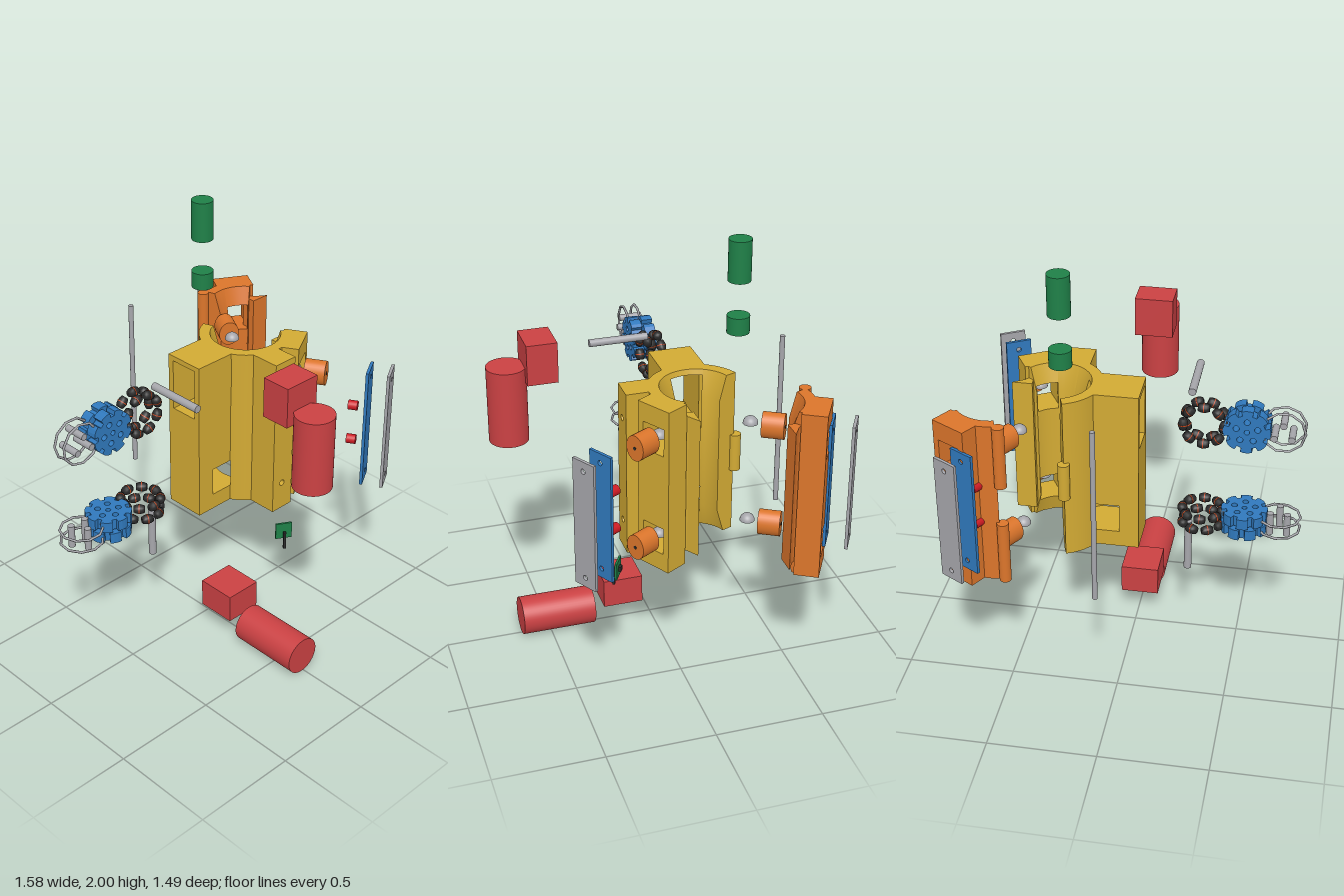
import * as THREE from 'three';
import { toCreasedNormals } from 'three/addons/utils/BufferGeometryUtils.js';

const paint = (name, color, side = THREE.FrontSide) => {
  const m = new THREE.MeshStandardMaterial({ color, side });
  m.name = name;
  return m;
};
const rad = THREE.MathUtils.degToRad;
const CX = 0.345, CZ = -0.11;          // bore axis
const Y0 = 0.58, Y1 = 1.375;           // housing bottom and top
const LEVELS = [0.73, 1.22];           // heights of the two clamp units

export function createModel() {
  const yellow = paint('yellow', 0xd2aa34, THREE.DoubleSide);
  const orange = paint('orange', 0xdb752b, THREE.DoubleSide);
  const blue = paint('blue', 0x3079bd);
  const grey = paint('grey', 0xa6a6ab);
  const red = paint('motor red', 0xca4143);
  const screwRed = paint('screw red', 0xcc1a22);
  const green = paint('green', 0x1f8048);
  const black = paint('black', 0x2a2a2a);
  const seam = paint('seam orange', 0xc8471c);

  const model = new THREE.Group();
  const group = (name, parent, x = 0, y = 0, z = 0) => {
    const g = new THREE.Group();
    g.name = name;
    g.position.set(x, y, z);
    parent.add(g);
    return g;
  };
  const add = (parent, name, geo, mat, x = 0, y = 0, z = 0) => {
    const m = new THREE.Mesh(geo, mat);
    m.name = name;
    m.position.set(x, y, z);
    parent.add(m);
    return m;
  };
  // Box given by its limits
  const box = (parent, name, mat, x0, x1, y0, y1, z0, z1) =>
    add(parent, name, new THREE.BoxGeometry(x1 - x0, y1 - y0, z1 - z0), mat, (x0 + x1) / 2, (y0 + y1) / 2, (z0 + z1) / 2);
  const cyl = (parent, name, mat, r, h, x, y, z, axis = 'y', seg = 32) => {
    const m = add(parent, name, new THREE.CylinderGeometry(r, r, h, seg), mat, x, y, z);
    if (axis === 'z') m.rotation.x = Math.PI / 2;
    if (axis === 'x') m.rotation.z = Math.PI / 2;
    return m;
  };
  const rectPath = (P, x0, x1, y0, y1) => {
    const p = new P();
    p.moveTo(x0, y0); p.lineTo(x1, y0); p.lineTo(x1, y1); p.lineTo(x0, y1); p.closePath();
    return p;
  };
  const extrude = (shape, depth) => new THREE.ExtrudeGeometry(shape, { depth, bevelEnabled: false, curveSegments: 16 });
  // Upright plate with round holes, extruded along z
  const drilled = (x0, x1, y0, y1, depth, r, holes) => {
    const s = rectPath(THREE.Shape, x0, x1, y0, y1);
    for (const [x, y] of holes) s.holes.push(new THREE.Path().absarc(x, y, r, 0, Math.PI * 2, true));
    return extrude(s, depth);
  };

  // Ring wall: a sector with a bore that flares at both ends
  const bore = y => 0.13 + 0.037 * Math.max(0, 0.70 - y, y - 1.26) / 0.12;
  function ringPart(parent, mat, a0, a1, y0, y1) {
    const ys = [y0, 0.70, 1.26, y1].filter((y, i) => i % 3 === 0 || (y > y0 && y < y1));
    const pts = ys.map(y => new THREE.Vector2(bore(y), y));
    pts.unshift(new THREE.Vector2(0.217, y0));
    pts.push(new THREE.Vector2(0.217, y1));
    const seg = Math.max(4, Math.ceil((a1 - a0) / 5));
    const wall = new THREE.LatheGeometry([...pts, pts[0].clone()].reverse(), seg, rad(90 - a1), rad(a1 - a0));
    add(parent, 'ringWall', toCreasedNormals(wall, 0.4), mat);
    for (const a of [a0, a1]) {
      const cap = add(parent, 'ringEnd', new THREE.ShapeGeometry(new THREE.Shape(pts)), mat);
      cap.rotation.y = -rad(a);
    }
  }
  // Ring sector with a window cut between angles w0 and w1 over each [y0, y1]
  function windowedRing(parent, mat, a0, w0, w1, a1, windows) {
    if (w0 > a0) ringPart(parent, mat, a0, w0, Y0, Y1);
    if (a1 > w1) ringPart(parent, mat, w1, a1, Y0, Y1);
    let y = Y0;
    for (const [b, t] of [...windows, [Y1, Y1]]) {
      if (b > y) ringPart(parent, mat, w0, w1, y, b);
      y = t;
    }
  }
  // Radial arm with two windows, and the wedge flange beside it
  const armWindows = LEVELS.map(y => [y - 0.065, y + 0.065]);
  function arm(parent, mat, s) {
    const g = group('clampArm', parent);
    g.rotation.y = rad(s > 0 ? 30 : 150);
    const shape = rectPath(THREE.Shape, -0.09, 0.09, Y0, Y1);
    for (const [b, t] of armWindows) shape.holes.push(rectPath(THREE.Path, -0.06, 0.06, b, t));
    add(g, 'armFrame', extrude(shape, 0.112), mat, 0, 0, 0.165);
    const wedge = new THREE.Shape([[0.12, 0.055], [0.214, 0.055], [0.16, 0.09], [0.125, 0.13]]
      .map(([x, z]) => new THREE.Vector2(x, -z * s)));
    const f = add(parent, 'edgeFlange', extrude(wedge, 0.67), mat, 0, 0.645, 0);
    f.rotation.x = -Math.PI / 2;
  }

  // Fixed housing
  const body = group('fixedHousing', model, CX, 0, CZ);
  windowedRing(body, yellow, 36, 38, 82, 120, armWindows);
  windowedRing(body, yellow, 120, 152, 208, 250, [[0.66, 0.80], [1.10, 1.35]]);
  arm(body, yellow, 1);
  cyl(body, 'housingKnuckle', yellow, 0.027, 0.18, -0.075, 0.98, -0.21);
  add(body, 'sensorBoss', drilled(-0.125, 0, Y0, Y1, 0.15, 0.015, [[-0.065, 0.72], [-0.065, 1.235]]), yellow, 0, 0, 0.17);
  // Drive block with a side pocket below and a lengthwise slot above
  const drive = group('driveBlock', model);
  box(drive, 'blockBase', yellow, -0.05, 0.17, Y0, 0.66, -0.21, -0.01);
  box(drive, 'blockEndWall', yellow, -0.05, 0.04, 0.66, 0.80, -0.21, -0.01);
  box(drive, 'blockMiddle', yellow, -0.05, 0.17, 0.80, 1.10, -0.21, -0.01);
  box(drive, 'slotWallBack', yellow, -0.05, 0.17, 1.10, 1.35, -0.21, -0.18);
  box(drive, 'slotWallFront', yellow, -0.05, 0.17, 1.10, 1.35, -0.04, -0.01);
  box(drive, 'blockTop', yellow, -0.05, 0.17, 1.35, Y1, -0.21, -0.01);

  // Hinged door
  const door = group('hingedDoor', model, CX + 0.227, 0, CZ - 0.232);
  windowedRing(door, orange, 254, 278, 322, 324, armWindows);
  arm(door, orange, -1);
  for (const [b, t] of [[Y0, 0.885], [1.075, Y1]])
    cyl(door, 'doorKnuckle', orange, 0.027, t - b, -0.075, (b + t) / 2, -0.21);
  cyl(model, 'hingePin', grey, 0.012, 0.86, 0.077, 1.0, -0.61, 'y', 16);

  // Clamp units: plungers, domes, screws and plates along each arm
  for (const s of [1, -1]) {
    const unit = group(s > 0 ? 'frontClamp' : 'backClamp', model, CX, 0, CZ);
    unit.rotation.y = rad(s > 0 ? 30 : 150);
    for (const y of LEVELS) {
      cyl(unit, 'plunger', orange, 0.06, 0.1, 0, y, 0.342, 'z').scale.x = 0.82;
      cyl(unit, 'plungerHole', black, 0.008, 0.104, 0, y, 0.342, 'z', 12);
      add(unit, 'contactDome', new THREE.SphereGeometry(0.034, 24, 10, 0, Math.PI * 2, 0, Math.PI / 2), grey, 0, y, 0.239);
      const base = add(unit, 'domeBase', new THREE.CircleGeometry(0.034, 24), grey, 0, y, 0.239);
      base.rotation.x = Math.PI / 2;
    }
    for (const y of [0.885, 1.07]) cyl(unit, 'redScrew', screwRed, 0.023, 0.045, 0, y, 0.526, 'z', 20);
    const plate = drilled(-0.061, 0.061, 0.675, 1.28, 0.014, 0.012, [[0, 0.72], [0, 1.235]]);
    add(unit, 'bluePlate', plate, blue, 0, 0, 0.587);
    add(unit, 'coverPlate', plate, grey, 0, 0, 0.685);
  }

  // Omni wheels, shown apart as frame, hub and rollers
  const barrel = new THREE.LatheGeometry([[0, -0.026], [0.016, -0.026], [0.021, -0.013], [0.023, 0], [0.021, 0.013], [0.016, 0.026], [0, 0.026]]
    .map(p => new THREE.Vector2(...p)), 14);
  const band = new THREE.CylinderGeometry(0.0236, 0.0236, 0.004, 14);
  const wire = new THREE.TorusGeometry(0.098, 0.006, 6, 10);
  const hubShape = new THREE.Shape();
  for (let i = 0; i < 8; i++) {
    const a = i * Math.PI / 4;
    const steps = [[0.105, -0.26], [0.107, -0.09], [0.107, 0.09], [0.105, 0.26], [0.084, 0.27], [0.084, 0.515]];
    for (const [r, d] of steps) {
      const x = r * Math.cos(a + d), y = r * Math.sin(a + d);
      if (i === 0 && d === -0.26) hubShape.moveTo(x, y); else hubShape.lineTo(x, y);
    }
  }
  for (let i = 0; i < 5; i++) {
    const a = Math.PI / 2 + i * Math.PI * 0.4;
    hubShape.holes.push(new THREE.Path().absarc(0.05 * Math.cos(a), 0.05 * Math.sin(a), 0.014, 0, Math.PI * 2, true));
  }
  hubShape.holes.push(new THREE.Path().absarc(0, 0, 0.012, 0, Math.PI * 2, true));
  const hub = extrude(hubShape, 0.052);

  for (const [name, y, tilt] of [['upperWheel', 1.225, 0], ['lowerWheel', 0.735, Math.PI / 2]]) {
    const wheel = group(name, model, 0, y, CZ);
    wheel.rotation.x = tilt;
    const frame = group('wireFrame', wheel, -0.685);
    const hubs = group('hub', wheel, -0.525);
    const rollers = group('rollers', wheel, -0.33);
    for (let i = 0; i < 3; i++) {
      const a = Math.PI / 2 + i * Math.PI * 2 / 3;
      cyl(frame, 'framePin', grey, 0.016, 0.11, 0.045 * Math.cos(a), 0.045 * Math.sin(a), 0, 'z', 14);
    }
    [-1, 1].forEach((side, row) => {
      const turn = row * Math.PI / 8;
      add(frame, 'wireRing', wire, grey, 0, 0, side * 0.03).rotation.z = turn;
      add(hubs, 'hubDisc', hub, blue, 0, 0, side * 0.03 - 0.026).rotation.z = turn;
      for (let i = 0; i < 8; i++) {
        const a = i * Math.PI / 4 + turn;
        const x = 0.092 * Math.cos(a), yy = 0.092 * Math.sin(a);
        add(rollers, 'roller', barrel, black, x, yy, side * 0.03).rotation.z = a;
        add(rollers, 'rollerBand', band, seam, x, yy, side * 0.03).rotation.z = a;
      }
    });
  }
  cyl(model, 'upperAxle', grey, 0.018, 0.28, -0.267, 1.35, 0.07, 'z', 20);
  cyl(model, 'lowerAxle', grey, 0.018, 0.26, -0.267, 0.555, -0.105, 'y', 20);

  // Motors with gearboxes
  cyl(model, 'upperMotor', red, 0.09, 0.36, -0.01, 1.233, 0.655, 'y', 48);
  box(model, 'upperGearbox', red, -0.10, 0.08, 1.345, 1.535, 0.44, 0.58);
  cyl(model, 'lowerMotor', red, 0.09, 0.35, -0.01, 0.09, 0.465, 'z', 48);
  box(model, 'lowerGearbox', red, -0.10, 0.08, 0.12, 0.26, 0.06, 0.25);

  // Green knobs above the hinge
  cyl(model, 'lowerKnob', green, 0.051, 0.08, 0.27, 1.61, -0.32);
  cyl(model, 'upperKnob', green, 0.051, 0.19, 0.27, 1.905, -0.32);

  // Sensor board with its chip and lead
  const board = group('sensorBoard', model, 0.275, 0.46, 0.235);
  board.rotation.y = rad(-30);
  box(board, 'circuitBoard', green, -0.04, 0.04, -0.042, 0.042, -0.005, 0.005);
  box(board, 'chip', black, -0.012, 0.012, -0.012, 0.012, -0.018, -0.005);
  box(board, 'lead', black, -0.006, 0.006, -0.09, 0.002, 0.014, 0.026);
  return model;
}
